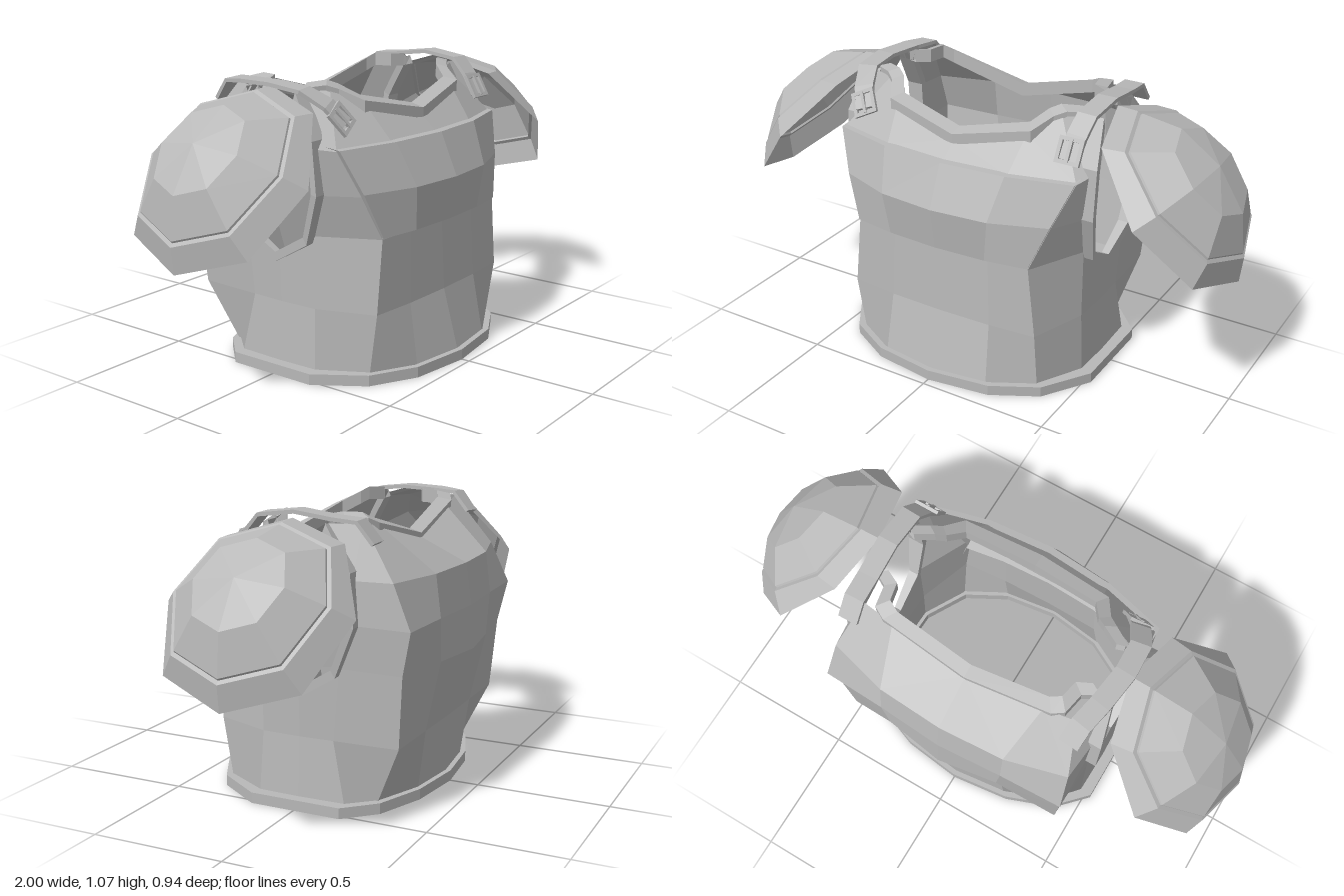
import * as THREE from 'three';

const steel = new THREE.MeshStandardMaterial({ color: 0xb8b8b8, side: THREE.DoubleSide });
steel.name = 'steel grey';

const V = (x, y, z) => new THREE.Vector3(x, y, z);
const flip = ([x, y, z]) => [-x, y, z];

// Faceted surface through rows of points, one flat normal per four-sided face;
// wrapU joins row ends, wrapV joins last row to first
function skin(name, rows, wrapU = false, wrapV = false) {
  const pos = [], nor = [];
  const nr = rows.length, nc = rows[0].length;
  for (let r = 0; r < (wrapV ? nr : nr - 1); r++) {
    for (let c = 0; c < (wrapU ? nc : nc - 1); c++) {
      const a = V(...rows[r][c]), b = V(...rows[r][(c + 1) % nc]);
      const d = V(...rows[(r + 1) % nr][c]), e = V(...rows[(r + 1) % nr][(c + 1) % nc]);
      const n = e.clone().sub(a).cross(d.clone().sub(b)).normalize();
      // split along the shorter diagonal so both sides mirror
      const tris = a.distanceTo(e) < b.distanceTo(d) ? [a, b, e, a, e, d] : [a, b, d, b, e, d];
      for (const p of tris) {
        pos.push(p.x, p.y, p.z);
        nor.push(n.x, n.y, n.z);
      }
    }
  }
  const g = new THREE.BufferGeometry();
  g.setAttribute('position', new THREE.Float32BufferAttribute(pos, 3));
  g.setAttribute('normal', new THREE.Float32BufferAttribute(nor, 3));
  const m = new THREE.Mesh(g, steel);
  m.name = name;
  return m;
}

// Half row (front centre to back centre) to a full ring
const ring = (h) => [...h, ...h.slice(1, -1).reverse().map(flip)];
// Half row starting at the centre to a full left-right strip
const strip = (h) => [...h.slice(1).reverse().map(flip), ...h];
const atY = (y, xz) => xz.map(([x, z]) => [x, y, z]);

// Flat band swept along a path
function band(name, path, width, thick) {
  const p = path.map((q) => V(...q));
  const rows = p.map((q, i) => {
    const t = p[Math.min(i + 1, p.length - 1)].clone().sub(p[Math.max(i - 1, 0)]).normalize();
    const s = V(1, 0, 0).addScaledVector(t, -t.x).normalize();
    const n = t.clone().cross(s).normalize();
    return [[-1, -1], [1, -1], [1, 1], [-1, 1]].map(([a, b]) =>
      q.clone().addScaledVector(s, a * width / 2).addScaledVector(n, b * thick / 2).toArray());
  });
  const mid = (i) => rows[i].map(() => path[i]);
  return skin(name, [mid(0), ...rows, mid(path.length - 1)], true);
}

// Square frame with a centre bar
function buckle(pos, tilt) {
  const square = (r) => [[-r, -r], [r, -r], [r, r], [-r, r]].map((a) => new THREE.Vector2(...a));
  const s = new THREE.Shape(square(.047));
  s.holes.push(new THREE.Path(square(.033)));
  const g = new THREE.Group();
  g.name = 'buckle';
  const frame = new THREE.Mesh(new THREE.ExtrudeGeometry(s, { depth: .012, bevelEnabled: false }), steel);
  frame.name = 'buckleFrame';
  const prong = new THREE.Mesh(new THREE.BoxGeometry(.012, .08, .012), steel);
  prong.name = 'buckleProng';
  prong.position.z = .01;
  g.add(frame, prong);
  g.position.set(...pos);
  g.rotation.set(-.5, 0, tilt);
  return g;
}

// Domed shoulder guard on the +x side (side = 1) or -x side (side = -1)
function pauldron(side) {
  const half = (list) => [...list, ...list.slice(1, -1).reverse().map(([x, y, z]) => [x, y, -z])];
  const edge = half([[.5, 1.04, 0], [.55, .975, .22], [.735, .77, .35], [.92, .565, .255], [.99, .49, 0]]);
  const lip = half([[.575, 1.035, 0], [.63, .975, .21], [.79, .815, .292], [.945, .645, .205], [1, .585, 0]]);
  // shrink the lip towards its centre and lift it outwards
  const inset = (k, h) => lip.map(([x, y, z]) =>
    [.785 + (x - .785) * k + .73 * h, .81 + (y - .81) * k + .68 * h, z * k]);
  const rows = [edge, lip, inset(.95, .002), inset(.945, .01), inset(.57, .1), inset(0, .137)];
  return skin(side > 0 ? 'leftPauldron' : 'rightPauldron',
    rows.map((r) => r.map(([x, y, z]) => [x * side, y, z])), true);
}

export function createModel() {
  const model = new THREE.Group();
  model.name = 'cuirass';

  // Lower body, from hem to armpits
  const hemXZ = [[0, .45], [.22, .42], [.385, .33], [.48, .16], [.485, 0], [.48, -.18], [.4, -.27], [.21, -.345], [0, -.37]];
  const armpit = atY(.525, [[0, .37], [.2, .37], [.36, .365], [.465, .15], [.475, 0], [.47, -.155], [.475, -.395], [.23, -.435], [0, -.47]]);
  armpit[4][1] = .435;
  model.add(skin('lowerBody', [
    ring(atY(.03, hemXZ)),
    ring(atY(.26, [[0, .385], [.21, .38], [.39, .365], [.465, .15], [.47, 0], [.465, -.13], [.455, -.375], [.22, -.377], [0, -.38]])),
    ring(armpit),
  ], true));

  // Flared hem band
  const hemOut = [[0, .47], [.24, .437], [.41, .345], [.525, .17], [.525, 0], [.525, -.18], [.42, -.29], [.23, -.362], [0, -.39]];
  const hemIn = hemXZ.map(([x, z]) => [x * .97, z * .97]);
  model.add(skin('hemBand', [atY(0, hemIn), atY(0, hemOut), atY(.04, hemOut), atY(.04, hemIn)].map(ring), true, true));

  // Upper chest and upper back, up to the neckline
  model.add(skin('upperChest', [
    armpit.slice(0, 4),
    atY(.68, [[0, .38], [.2, .37], [.42, .32], [.485, .2]]),
    atY(.84, [[0, .345], [.25, .325], [.485, .265], [.497, .19]]),
    [[0, .9, .27], [.27, .965, .225], [.36, 1.02, .14], [.48, 1.02, .09]],
  ].map(strip)));
  model.add(skin('upperBack', [
    armpit.slice(5).reverse(),
    atY(.685, [[0, -.457], [.25, -.44], [.49, -.43], [.485, -.235]]),
    atY(.84, [[0, -.435], [.25, -.42], [.475, -.36], [.49, -.215]]),
    [[0, .925, -.25], [.3, 1.0, -.235], [.42, 1.025, -.225], [.48, 1.025, -.11]],
  ].map(strip)));

  // Raised breastplate with a closed border
  const plate = [
    atY(.53, [[0, .405], [.2, .395], [.36, .37]]),
    atY(.69, [[0, .43], [.22, .41], [.425, .335]]),
    atY(.845, [[0, .362], [.25, .342], [.487, .28]]),
  ].map((r) => [...r, [r[2][0] - .005, r[2][1], r[2][2] - .035]]);
  const tuck = (r, dy) => r.map(([x, y, z]) => [x, y + dy, z - .045]);
  model.add(skin('breastplate', [tuck(plate[0], -.01), ...plate, tuck(plate[2], .005)].map(strip)));

  // Neckline rims, front and back
  const neckRim = (name, half) => {
    const p = strip(half);
    const off = (k, dy) => p.map(([x, y, z]) => [x * (k + 1) / 2, y + dy, z * k]);
    model.add(skin(name, [off(.88, -.025), off(1.08, -.03), off(1.08, .012), off(.88, .025)], false, true));
  };
  neckRim('frontNeckRim', [[0, .912, .262], [.28, .972, .22], [.325, 1.01, .15], [.36, 1.025, .125], [.43, 1.02, .085]]);
  neckRim('backNeckRim', [[0, .925, -.24], [.32, 1.005, -.225], [.36, 1.025, -.205], [.375, 1.025, -.13], [.43, 1.022, -.1]]);

  // Armhole rims, open at the shoulder under the strap, leaning in towards the bottom
  const hole = [[.09, 1.0], [.175, .86], [.19, .69], [.13, .52], [-.01, .44], [-.14, .52], [-.215, .69], [-.205, .86], [-.11, 1.0]];
  for (const s of [1, -1]) {
    const loop = (x, k, lean) => hole.map(([z, y]) =>
      [s * (x - Math.max(0, .69 - y) * lean - Math.max(0, y - .86) * .2), .74 + (y - .74) * k, z * k]);
    model.add(skin(s > 0 ? 'leftArmholeRim' : 'rightArmholeRim',
      [loop(.46, .98, 0), loop(.525, .98, .15), loop(.525, 1.1, .15), loop(.46, 1.1, 0)], false, true));
    model.add(pauldron(s));
  }

  // Shoulder straps with buckles
  model.add(band('leftStrap', [[.44, .91, .243], [.447, .985, .195], [.455, 1.042, .14], [.46, 1.06, 0], [.455, 1.042, -.14], [.452, 1.036, -.23], [.45, .965, -.29]], .075, .014));
  model.add(band('rightStrap', [[-.405, .92, .243], [-.44, .985, .195], [-.475, 1.032, .12], [-.48, 1.045, 0], [-.46, 1.042, -.14], [-.44, 1.036, -.23], [-.43, .965, -.29]], .075, .014));
  model.add(buckle([.44, .94, .228], 0), buckle([-.415, .935, .228], .5));

  return model;
}
